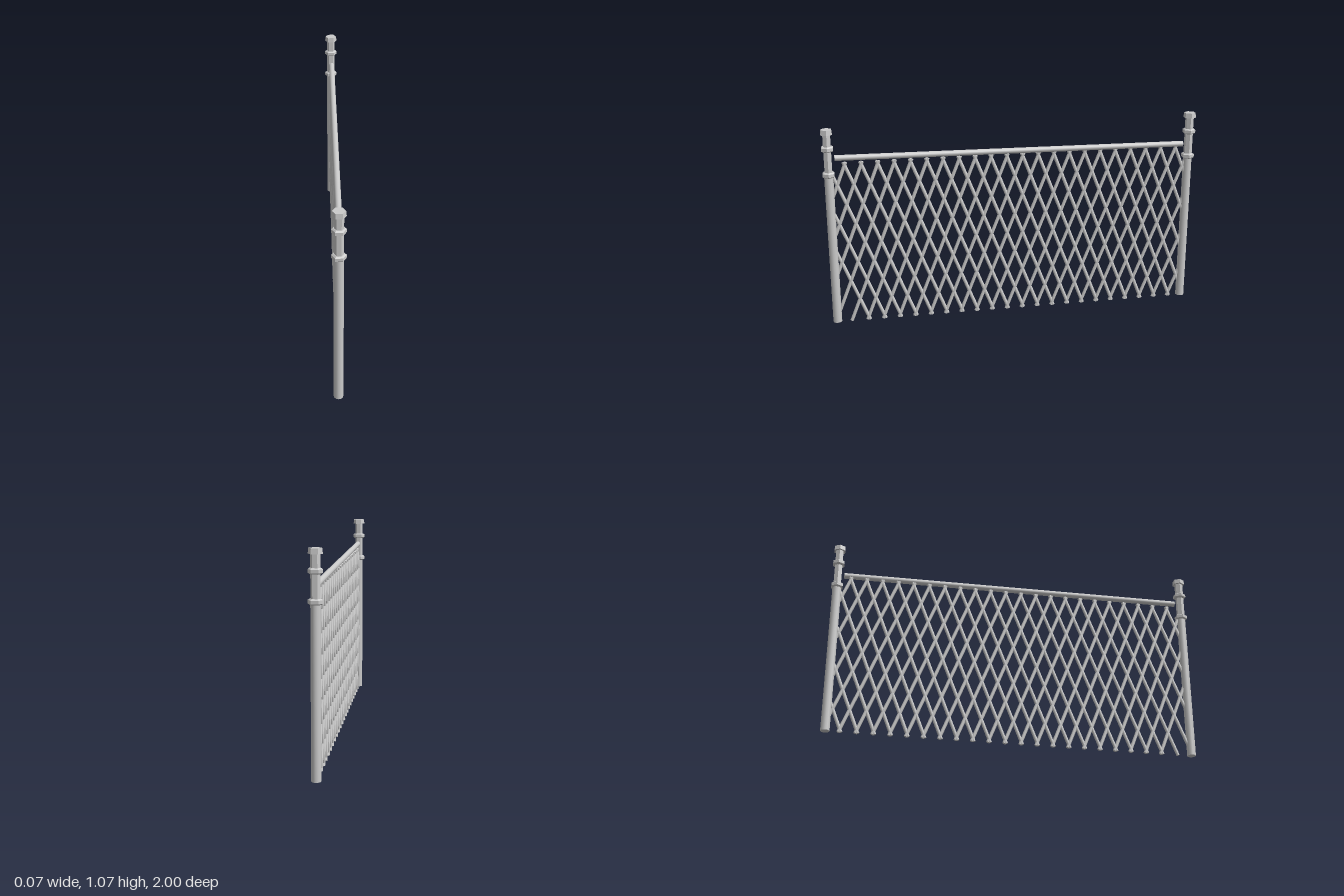
import * as THREE from 'three';

const grey = new THREE.MeshStandardMaterial({ color: 0xcccccc });
const faceted = new THREE.MeshStandardMaterial({ color: 0xcccccc, flatShading: true });

// Straight round bar between two points
function bar(name, a, b, radius, sides) {
  const dir = b.clone().sub(a);
  const mesh = new THREE.Mesh(new THREE.CylinderGeometry(radius, radius, dir.length(), sides), grey);
  mesh.name = name;
  mesh.position.copy(a).add(b).multiplyScalar(0.5);
  mesh.quaternion.setFromUnitVectors(new THREE.Vector3(0, 1, 0), dir.normalize());
  return mesh;
}

// Six-sided turned piece with corners pointing along x
function hexPiece(name, profile) {
  const points = profile.map(([r, y]) => new THREE.Vector2(r, y));
  const mesh = new THREE.Mesh(new THREE.LatheGeometry(points, 6, Math.PI / 2), faceted);
  mesh.name = name;
  return mesh;
}

function collar(name, y) {
  return hexPiece(name, [
    [0, y - 0.014], [0.027, y - 0.014], [0.035, y - 0.008],
    [0.035, y + 0.008], [0.027, y + 0.014], [0, y + 0.014],
  ]);
}

function post(name, z) {
  const group = new THREE.Group();
  group.name = name;
  group.add(
    bar('postShaft', new THREE.Vector3(0, 0.005, 0), new THREE.Vector3(0, 0.83, 0), 0.0235, 12),
    hexPiece('postNeck', [[0, 0.82], [0.0228, 0.82], [0.0228, 1.05], [0, 1.05]]),
    collar('lowerCollar', 0.833),
    collar('upperCollar', 0.97),
    hexPiece('postCap', [[0, 1.046], [0.034, 1.046], [0.031, 1.072], [0, 1.072]]),
  );
  group.position.z = z;
  return group;
}

export function createModel() {
  const model = new THREE.Group();
  model.name = 'latticeFence';

  model.add(post('frontPost', 0.97), post('backPost', -0.97));

  // Top rail, dropping slightly toward the back
  model.add(bar('topRail', new THREE.Vector3(0.004, 0.921, 0.936),
    new THREE.Vector3(0.004, 0.901, -0.936), 0.0155, 12));

  // Crossed rods, cut off where they enter the posts
  const lattice = new THREE.Group();
  lattice.name = 'lattice';
  const pitch = 0.085, first = 0.802, limit = 0.953;
  const bottom = 0.0033, top = 0.895, crossing = 0.02;
  const slope = (4 * pitch) / 0.86;
  for (const side of [1, -1]) {
    for (let k = -5; k <= 25; k++) {
      if (side === 1 && k === -1) continue;
      const base = first - k * pitch;
      const zAt = (y) => base + side * slope * (y - crossing);
      const yAt = (z) => crossing + (z - base) / (side * slope);
      const cuts = [yAt(-limit), yAt(limit)].sort((p, q) => p - q);
      const y0 = Math.max(bottom, cuts[0]), y1 = Math.min(top, cuts[1]);
      if (y1 - y0 < 0.06) continue;
      lattice.add(bar('latticeRod', new THREE.Vector3(0, y0, zAt(y0)),
        new THREE.Vector3(0, y1, zAt(y1)), 0.0093, 8));
    }
  }
  model.add(lattice);
  return model;
}
